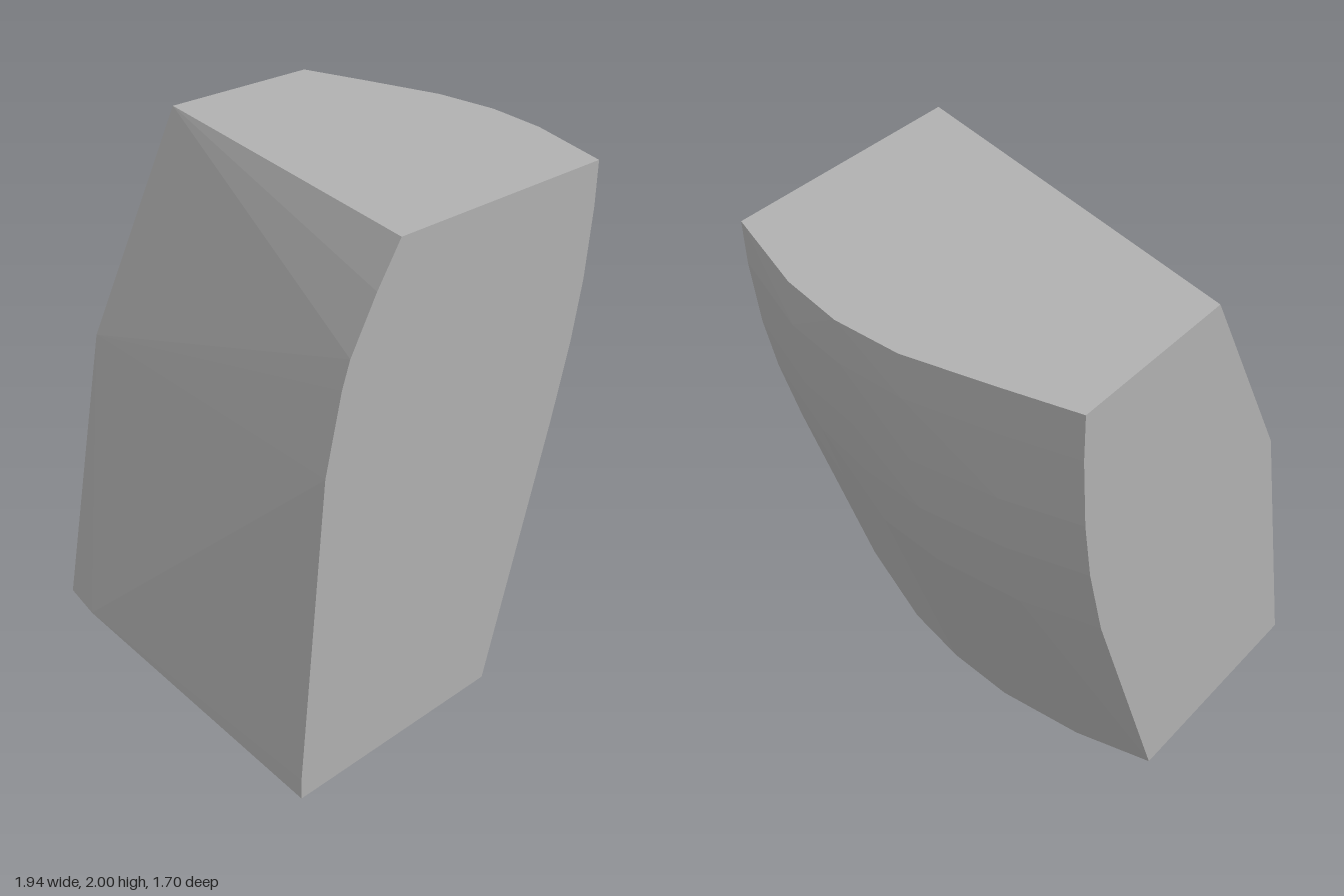
import * as THREE from 'three';
import { ConvexGeometry } from 'three/addons/geometries/ConvexGeometry.js';

export function createModel() {
  const group = new THREE.Group();
  group.name = 'stoneBlock';
  const stone = new THREE.MeshStandardMaterial({ color: 0xb0b0b0 });
  stone.name = 'stone grey';

  const points = [];
  const add = (x, y, z) => points.push(new THREE.Vector3(x, y, z));

  // Bulging side: each row is a height, then x at each depth from front to back
  const depths = [0.85, 0.43, 0.14, -0.16, -0.53, -0.85];
  const rows = [
    [0, 0.08, 0.286, 0.378, 0.432, 0.436, 0.39],
    [1, 0.45, 0.66, 0.76, 0.815, 0.815, 0.76],
    [1.3, 0.55, 0.76, 0.85, 0.9, 0.89, 0.835],
    [1.54, 0.61, 0.82, 0.9, 0.94, 0.925, 0.87],
    [1.82, 0.65, 0.86, 0.94, 0.97, 0.935, 0.885],
    [2, 0.66, 0.86, 0.945, 0.97, 0.925, 0.88],
  ];
  for (const [y, ...xs] of rows) xs.forEach((x, i) => add(x, y, depths[i]));

  // Chamfered side: front edge profile
  for (const [x, y] of [[-0.97, 0], [-0.97, 0.08], [-0.85, 1.24], [-0.77, 1.54], [-0.73, 1.64], [-0.6, 1.84], [-0.48, 2]]) {
    add(x, y, 0.85);
  }
  // Chamfered side: back edge profile and the clipped lower corner
  for (const [x, y] of [[-0.59, 0], [-0.38, 1.13], [0.09, 2]]) add(x, y, -0.85);
  add(-0.655, 0, -0.65);

  const block = new THREE.Mesh(new ConvexGeometry(points), stone);
  block.name = 'block';
  group.add(block);
  return group;
}
